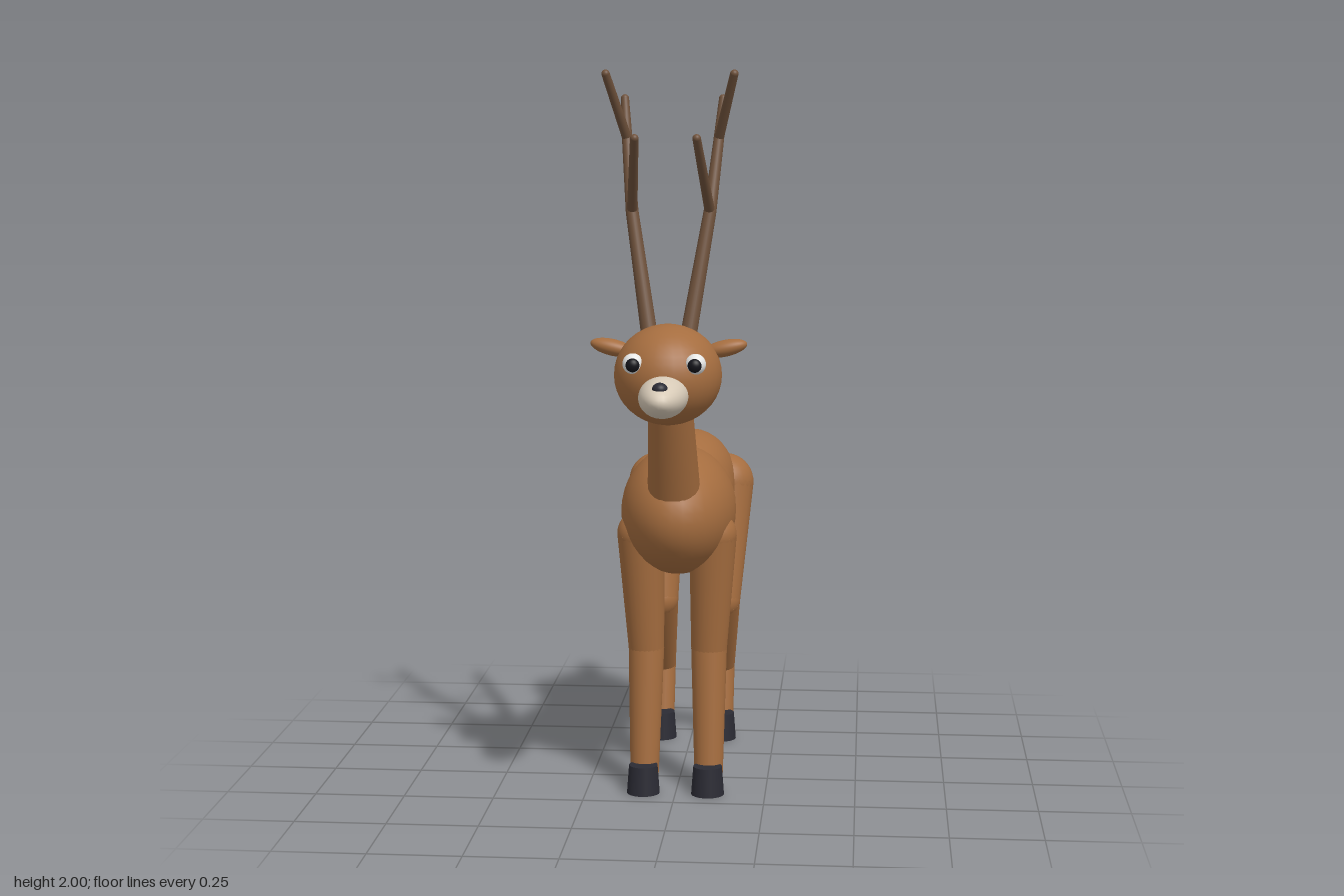
import * as THREE from 'three';

const mat = (name, color) => {
  const m = new THREE.MeshStandardMaterial({ color });
  m.name = name;
  return m;
};

export function createModel() {
  const deer = new THREE.Group();
  deer.name = 'deer';
  const coat = mat('brown coat', 0xa56d3f);
  const cream = mat('cream fur', 0xd8cbb8);
  const antlerMat = mat('antler brown', 0x6e513b);
  const dark = mat('dark hoof', 0x2b2b34);
  const white = mat('eye white', 0xf0f0ee);
  const black = mat('pupil black', 0x14141a);

  const add = (name, geometry, material, parent = deer) => {
    const mesh = new THREE.Mesh(geometry, material);
    mesh.name = name;
    parent.add(mesh);
    return mesh;
  };

  // Ellipsoid at a centre with three radii
  const blob = (name, material, center, radii, parent = deer) => {
    const mesh = add(name, new THREE.SphereGeometry(1, 32, 20), material, parent);
    mesh.position.set(...center);
    mesh.scale.set(...radii);
    return mesh;
  };

  // Tapered cylinder between two points
  const rod = (name, material, a, b, ra, rb, parent = deer) => {
    const p = new THREE.Vector3(...a), q = new THREE.Vector3(...b);
    const d = q.clone().sub(p);
    const mesh = add(name, new THREE.CylinderGeometry(rb, ra, d.length(), 24), material, parent);
    mesh.position.copy(p).add(q).multiplyScalar(0.5);
    mesh.quaternion.setFromUnitVectors(new THREE.Vector3(0, 1, 0), d.normalize());
    return mesh;
  };

  // Chain of tapered rods with round joints; each joint is [x, y, z, radius]
  const limb = (name, material, joints, firstJoint = 0) => {
    const group = new THREE.Group();
    group.name = name;
    deer.add(group);
    joints.forEach((j, i) => {
      const [x, y, z, r] = j;
      if (i >= firstJoint) blob(name + 'Joint', material, [x, y, z], [r, r, r], group);
      if (i > 0) {
        const k = joints[i - 1];
        rod(name + 'Segment', material, k.slice(0, 3), [x, y, z], k[3], r, group);
      }
    });
    return group;
  };

  // Body
  blob('chest', coat, [0, 0.788, 0.04], [0.16, 0.178, 0.25]);
  rod('barrel', coat, [0, 0.782, 0.05], [0, 0.782, -0.34], 0.134, 0.134);
  blob('rump', coat, [0, 0.797, -0.37], [0.135, 0.155, 0.238]);
  blob('belly', cream, [0, 0.72, -0.11], [0.09, 0.081, 0.17]);
  blob('tail', cream, [0, 0.867, -0.635], [0.041, 0.041, 0.041]);

  // Neck and head
  rod('neck', coat, [0, 0.87, 0.205], [0, 1.18, 0.345], 0.072, 0.056);
  blob('head', coat, [0, 1.209, 0.393], [0.142, 0.133, 0.15]);
  blob('muzzle', cream, [0, 1.168, 0.53], [0.064, 0.054, 0.145]);
  blob('nose', dark, [0, 1.2, 0.632], [0.02, 0.017, 0.02]);

  for (const [side, s] of [['left', 1], ['right', -1]]) {
    // Eyes and ears
    blob(side + 'Eye', white, [s * 0.081, 1.25, 0.508], [0.027, 0.027, 0.024]);
    blob(side + 'Pupil', black, [s * 0.08, 1.248, 0.526], [0.018, 0.018, 0.014]);
    const ear = blob(side + 'Ear', coat, [s * 0.148, 1.277, 0.373], [0.06, 0.022, 0.027]);
    ear.rotation.z = s * 0.22;

    // Antler: curved beam and two forward tines
    const fork = [s * 0.103, 1.63, 0.296], upper = [s * 0.122, 1.82, 0.233];
    limb(side + 'AntlerBeam', antlerMat, [
      [s * 0.05, 1.3, 0.366, 0.022], [...fork, 0.017],
      [...upper, 0.014], [s * 0.131, 1.925, 0.2, 0.011],
    ], 1);
    limb(side + 'LowerTine', antlerMat, [[...fork, 0.014], [s * 0.08, 1.825, 0.464, 0.011]], 1);
    limb(side + 'UpperTine', antlerMat, [[...upper, 0.013], [s * 0.168, 1.989, 0.331, 0.011]], 1);

    // Front leg
    limb(side + 'FrontLeg', coat, [
      [s * 0.1, 0.73, 0.107, 0.066], [s * 0.088, 0.4, 0.08, 0.05], [s * 0.09, 0.055, 0.12, 0.04],
    ]);
    // Hind leg
    limb(side + 'HindLeg', coat, [
      [s * 0.101, 0.79, -0.42, 0.085], [s * 0.092, 0.45, -0.333, 0.06],
      [s * 0.09, 0.21, -0.495, 0.037], [s * 0.09, 0.05, -0.462, 0.035],
    ]);
    // Hooves
    for (const [name, z] of [['FrontHoof', 0.16], ['HindHoof', -0.414]]) {
      const hoof = add(side + name, new THREE.CylinderGeometry(0.04, 0.046, 0.08, 24), dark);
      hoof.position.set(s * 0.09, 0.043, z);
    }
  }
  deer.position.y = -0.003;
  const root = new THREE.Group();
  root.name = 'model';
  root.add(deer);
  return root;
}
